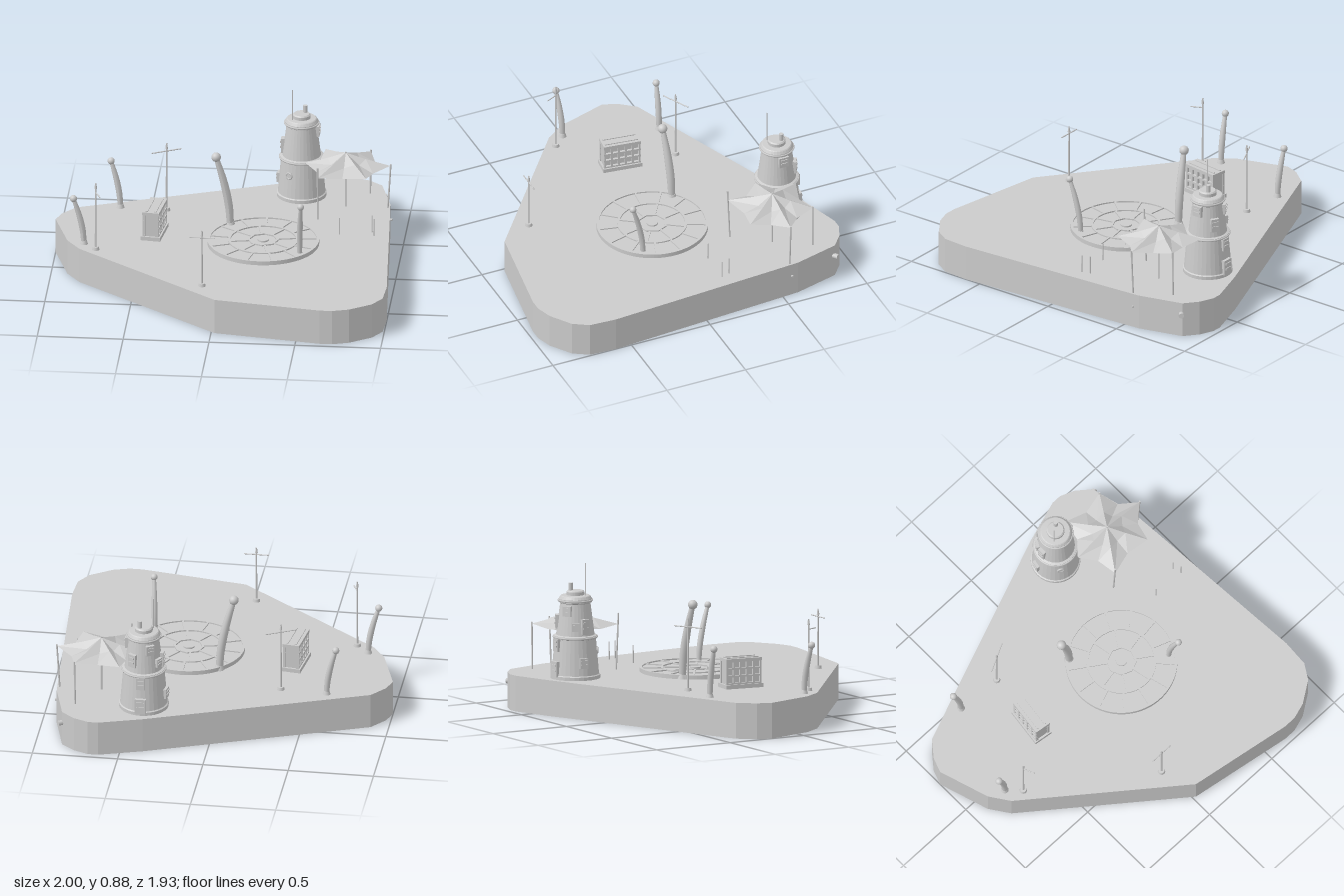
import * as THREE from 'three';

const mat = new THREE.MeshStandardMaterial({ color: 0xcccccc });
const flat = new THREE.MeshStandardMaterial({ color: 0xcccccc, flatShading: true });
const cloth = new THREE.MeshStandardMaterial({ color: 0xcccccc, flatShading: true, side: THREE.DoubleSide });
const GROUND = 0.21;

function add(parent, name, geo, x = 0, y = 0, z = 0, ry = 0, material = mat) {
  const m = new THREE.Mesh(geo, material);
  m.name = name;
  m.position.set(x, y, z);
  m.rotation.y = ry;
  parent.add(m);
  return m;
}

function group(parent, name, x = 0, y = 0, z = 0, ry = 0) {
  const g = new THREE.Group();
  g.name = name;
  g.position.set(x, y, z);
  g.rotation.y = ry;
  parent.add(g);
  return g;
}

// Round bar between two points
function rod(parent, name, a, b, r0, r1 = r0) {
  const p = new THREE.Vector3(...a), q = new THREE.Vector3(...b);
  const d = q.clone().sub(p);
  const m = add(parent, name, new THREE.CylinderGeometry(r1, r0, d.length(), 8));
  m.position.copy(p).add(q).multiplyScalar(0.5);
  m.quaternion.setFromUnitVectors(new THREE.Vector3(0, 1, 0), d.normalize());
  return m;
}

// Flat ring lying on the ground plane
function ringGeo(outer, inner, h, seg = 48) {
  const s = new THREE.Shape().absarc(0, 0, outer, 0, Math.PI * 2);
  s.holes.push(new THREE.Path().absarc(0, 0, inner, 0, Math.PI * 2, true));
  return new THREE.ExtrudeGeometry(s, { depth: h, bevelEnabled: false, curveSegments: seg }).rotateX(-Math.PI / 2);
}

function buildPlatform(root) {
  const outline = [[-1, -0.215], [-0.97, -0.3], [-0.895, -0.395], [0.37, -0.885], [0.62, -0.965], [0.68, -0.965],
    [0.765, -0.93], [0.845, -0.865], [0.915, -0.6], [0.93, -0.4], [1, 0.6], [0.99, 0.76], [0.935, 0.85],
    [0.81, 0.935], [0.715, 0.965], [0.64, 0.965], [0.02, 0.865], [-0.825, 0.2], [-0.905, 0.085]];
  const shape = new THREE.Shape(outline.map(([x, z]) => new THREE.Vector2(x, -z)));
  const geo = new THREE.ExtrudeGeometry(shape, { depth: GROUND, bevelEnabled: false }).rotateX(-Math.PI / 2);
  add(root, 'platform', geo, 0, 0, 0, 0, flat);
  // Drain pipes on the side wall
  rod(root, 'drainPipe', [0.82, 0.14, -0.84], [0.868, 0.14, -0.875], 0.016);
  rod(root, 'smallPipe', [0.9, 0.13, -0.56], [0.93, 0.13, -0.56], 0.007);
}

function buildPlaza(root) {
  const g = group(root, 'plaza', 0.23, GROUND, 0.02);
  add(g, 'plazaDisc', new THREE.CylinderGeometry(0.318, 0.325, 0.017, 48), 0, 0.0085);
  const rings = [[0.325, 0.31, 48], [0.203, 0.19, 48], [0.09, 0.078, 4]];
  for (const [o, i, seg] of rings) add(g, 'plazaRing', ringGeo(o, i, 0.025, seg));
  add(g, 'plazaHub', new THREE.CylinderGeometry(0.033, 0.033, 0.026, 16), 0, 0.013);
  const spokes = (n, r0, r1, offset) => {
    for (let i = 0; i < n; i++) {
      const a = offset + i / n * Math.PI * 2, r = (r0 + r1) / 2;
      add(g, 'plazaSpoke', new THREE.BoxGeometry(0.012, 0.024, r1 - r0), Math.sin(a) * r, 0.012, Math.cos(a) * r, a);
    }
  };
  spokes(13, 0.197, 0.316, 0.26);
  spokes(8, 0.084, 0.195, 0.2);
}

function buildTower(root) {
  const g = group(root, 'tower', 0.39, GROUND, -0.7);
  const profile = [[0, 0], [0.145, 0], [0.145, 0.02], [0.138, 0.025], [0.12, 0.232], [0.126, 0.234], [0.126, 0.25],
    [0.112, 0.255], [0.088, 0.44], [0.097, 0.445], [0.097, 0.465], [0.088, 0.48], [0.083, 0.484], [0.052, 0.486],
    [0.052, 0.505], [0.045, 0.512], [0, 0.512]];
  // Doubled corners keep the edges sharp
  const pts = profile.flatMap(([x, y]) => [new THREE.Vector2(x, y), new THREE.Vector2(x, y)]);
  const geo = new THREE.LatheGeometry(pts, 32);
  add(g, 'towerBody', geo.toNonIndexed(), 0, 0, 0, 0, flat);
  for (const [r, y] of [[0.127, 0.242], [0.098, 0.456]]) {
    add(g, 'towerBand', new THREE.TorusGeometry(r, 0.006, 6, 40).rotateX(Math.PI / 2), 0, y);
  }
  add(g, 'chimney', new THREE.CylinderGeometry(0.013, 0.013, 0.06, 12), 0.02, 0.525, -0.02);
  rod(g, 'antenna', [-0.05, 0.48, 0.04], [-0.05, 0.675, 0.04], 0.003);
  // Window boxes and door: angle in degrees, height, width, tall, wall radius
  const boxes = [[90, 0.41, 0.06, 0.065, 0.092], [-90, 0.31, 0.045, 0.09, 0.105], [180, 0.2, 0.05, 0.075, 0.122],
    [180, 0.06, 0.065, 0.09, 0.134], [-150, 0.4, 0.05, 0.06, 0.093], [-120, 0.31, 0.045, 0.05, 0.104],
    [150, 0.33, 0.05, 0.08, 0.102], [-100, 0.1, 0.05, 0.06, 0.131]];
  for (const [deg, y, w, h, r] of boxes) {
    const a = deg * Math.PI / 180;
    const p = group(g, 'windowBox', Math.sin(a) * r, y, Math.cos(a) * r, a);
    add(p, 'windowFrame', new THREE.BoxGeometry(w, h, 0.028));
    add(p, 'windowSill', new THREE.BoxGeometry(w * 0.7, h * 0.12, 0.038), 0, -h * 0.1);
    add(p, 'windowHood', new THREE.BoxGeometry(w * 0.7, h * 0.12, 0.038), 0, h * 0.25);
  }
  const a = -0.52;
  const port = add(g, 'porthole', new THREE.TorusGeometry(0.018, 0.005, 8, 20), Math.sin(a) * 0.128, 0.16, Math.cos(a) * 0.128, a);
  add(port, 'portholeGlass', new THREE.CircleGeometry(0.018, 20), 0, 0, 0.002);
}

function buildCanopy(root) {
  const cx = 0.66, cz = -0.55;
  const g = group(root, 'canopy', cx, 0, cz);
  // Star-shaped cloth: six tips and six scalloped edges, folded along a middle ring
  const tips = [[0.26, 0], [0.135, 0.2], [-0.145, 0.22], [-0.235, 0], [-0.135, -0.21], [0.13, -0.2]];
  const edge = [], mid = [];
  tips.forEach(([x, z], i) => {
    const [nx, nz] = tips[(i + 1) % 6];
    const vx = (x + nx) * 0.42, vz = (z + nz) * 0.42;
    edge.push([x, 0.475, z], [vx, 0.458, vz]);
    mid.push([x * 0.45, 0.512, z * 0.45], [vx * 0.5, 0.488, vz * 0.5]);
  });
  const pos = [], apex = [0, 0.55, 0];
  for (let i = 0; i < 12; i++) {
    const j = (i + 1) % 12;
    pos.push(...apex, ...mid[j], ...mid[i]);
    pos.push(...mid[i], ...mid[j], ...edge[j], ...mid[i], ...edge[j], ...edge[i]);
  }
  const geo = new THREE.BufferGeometry();
  geo.setAttribute('position', new THREE.Float32BufferAttribute(pos, 3));
  geo.computeVertexNormals();
  add(g, 'canopyCloth', geo, 0, 0, 0, 0, cloth);
  rod(g, 'canopyPole', [0, GROUND, 0], [0, 0.555, 0], 0.005);
  rod(g, 'canopyPole', [0.245, GROUND, 0], [0.262, 0.485, 0], 0.005);
  rod(g, 'canopyPole', [-0.145, GROUND, 0.205], [-0.145, 0.54, 0.22], 0.005);
  rod(g, 'canopyPole', [0.125, GROUND, -0.2], [0.13, 0.485, -0.2], 0.005);
  // Short posts in front of the canopy
  for (const [x, z] of [[0.66, -0.14], [0.845, -0.19], [0.86, -0.14]]) {
    rod(root, 'shortPost', [x, GROUND, z], [x, 0.315, z], 0.004, 0.003);
  }
}

// Curved tapering lamp with a round head
function buildLamp(root, [bx, bz], [hx, hy, hz], r) {
  const g = group(root, 'curvedLamp');
  const at = (t, bend) => new THREE.Vector3(bx + (hx - bx) * bend, GROUND + (hy - GROUND) * t, bz + (hz - bz) * bend);
  const curve = new THREE.CatmullRomCurve3([at(0, 0), at(0.3, 0.12), at(0.65, 0.48), at(1, 1)]);
  const segs = 20, sides = 12;
  const geo = new THREE.TubeGeometry(curve, segs, 1, sides);
  const p = geo.attributes.position, v = new THREE.Vector3();
  for (let i = 0; i < p.count; i++) {
    const t = Math.floor(i / (sides + 1)) / segs, c = curve.getPointAt(t);
    const width = r * (0.72 - 0.2 * t + 0.22 * Math.sin(t * Math.PI));
    v.fromBufferAttribute(p, i).sub(c).multiplyScalar(width).add(c);
    p.setXYZ(i, v.x, v.y, v.z);
  }
  geo.computeVertexNormals();
  add(g, 'lampStem', geo);
  add(g, 'lampFoot', new THREE.CylinderGeometry(r * 0.75, r * 1.1, r * 1.1, 14), bx, GROUND + r * 0.55, bz);
  add(g, 'lampHead', new THREE.SphereGeometry(r, 16, 12), hx, hy, hz);
}

// Mast with a foot, a knob and a crossbar
function buildMast(root, x, z, top, barY, barFrom, barTo) {
  const g = group(root, 'mast', x, 0, z);
  add(g, 'mastFoot', new THREE.CylinderGeometry(0.018, 0.022, 0.018, 14), 0, GROUND + 0.009);
  rod(g, 'mastPole', [0, GROUND, 0], [0, top, 0], 0.006, 0.004);
  add(g, 'mastKnob', new THREE.CylinderGeometry(0.005, 0.008, 0.025, 10), 0, top - 0.022);
  rod(g, 'mastBar', [barFrom[0], barY, barFrom[1]], [barTo[0], barY, barTo[1]], 0.0035);
}

function buildCabinet(root) {
  const g = group(root, 'cabinet', -0.41, GROUND, -0.065, -0.13);
  add(g, 'cabinetBase', new THREE.BoxGeometry(0.115, 0.024, 0.235), 0, 0.012);
  add(g, 'cabinetCore', new THREE.BoxGeometry(0.066, 0.14, 0.21), 0, 0.094);
  add(g, 'cabinetTop', new THREE.BoxGeometry(0.1, 0.018, 0.225), 0, 0.166);
  // Shelf grid on both long faces
  for (const s of [-1, 1]) {
    for (let i = 0; i < 4; i++) add(g, 'shelf', new THREE.BoxGeometry(0.016, 0.011, 0.222), s * 0.04, 0.028 + i * 0.044);
    for (let i = 0; i < 6; i++) add(g, 'divider', new THREE.BoxGeometry(0.015, 0.14, 0.011), s * 0.04, 0.094, -0.105 + i * 0.042);
    add(g, 'topRail', new THREE.BoxGeometry(0.012, 0.008, 0.2), s * 0.025, 0.176);
  }
}

export function createModel() {
  const root = new THREE.Group();
  root.name = 'islandPlaza';
  buildPlatform(root);
  buildPlaza(root);
  buildTower(root);
  buildCanopy(root);
  buildCabinet(root);
  buildLamp(root, [-0.805, 0.123], [-0.865, 0.5, 0.138], 0.021);
  buildLamp(root, [-0.64, -0.417], [-0.695, 0.5, -0.423], 0.021);
  buildLamp(root, [0.02, -0.2], [-0.062, 0.655, -0.178], 0.028);
  buildLamp(root, [0.455, 0.18], [0.468, 0.545, 0.25], 0.02);
  buildMast(root, -0.73, 0.2, 0.63, 0.57, [0, 0], [0.03, 0.065]);
  buildMast(root, -0.37, -0.4, 0.635, 0.585, [-0.083, 0.042], [0.083, -0.042]);
  buildMast(root, -0.07, 0.67, 0.56, 0.515, [-0.073, 0], [0.073, 0]);
  return root;
}
